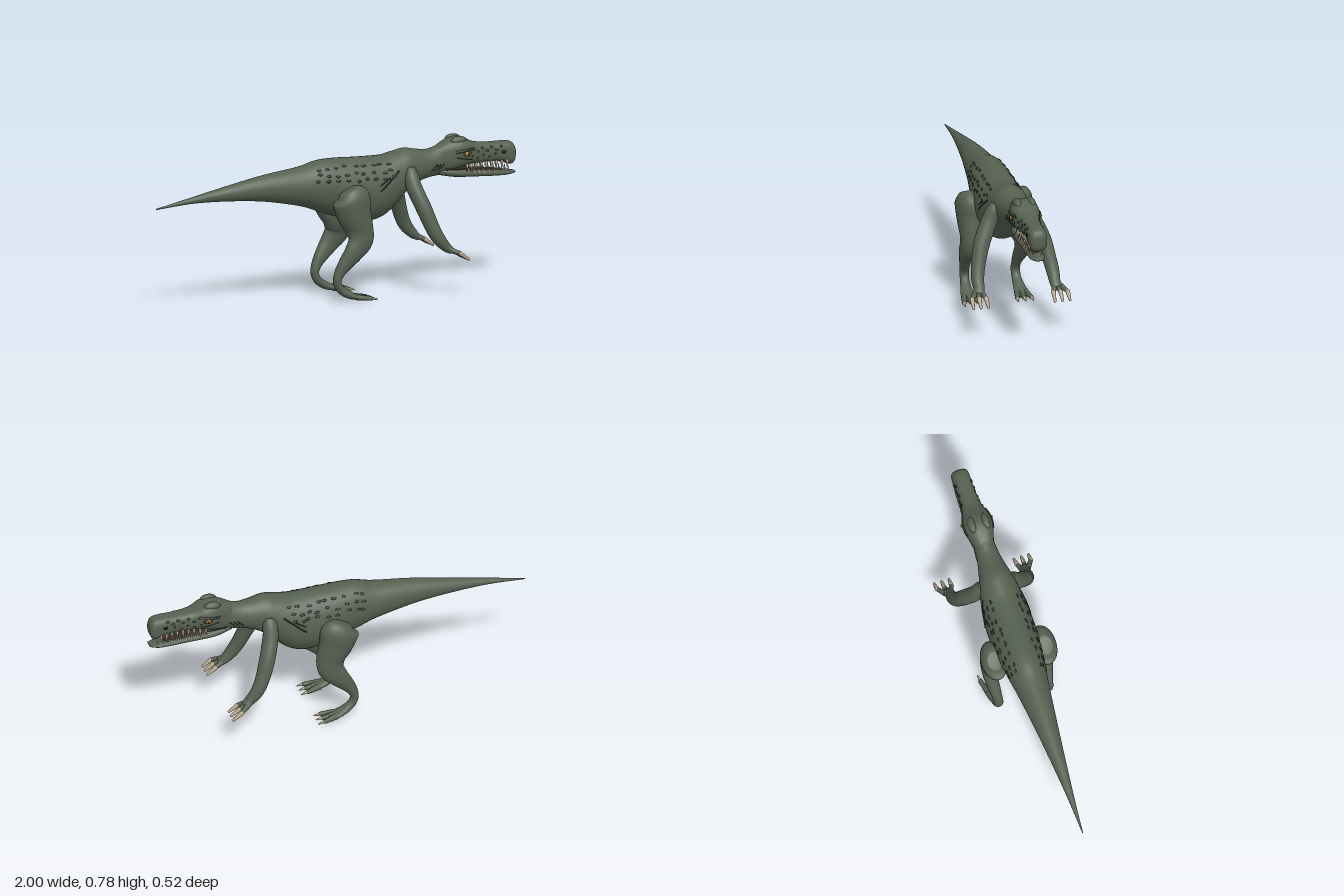
import * as THREE from 'three';

const mat = (name, color) => Object.assign(new THREE.MeshStandardMaterial({ color }), { name });
const skin = mat('skin', 0x566151);
const dark = mat('dark scales', 0x2f372f);
const bone = mat('teeth', 0xd6c8a8);
const horn = mat('claws', 0xb8a68c);
const gold = mat('eye gold', 0xc08420);
const black = mat('black', 0x121210);
const mouth = mat('mouth', 0x3a2a26);

const V = (x, y, z) => new THREE.Vector3(x, y, z);

// Smooth interpolation between rows [x, y, z, radiusA, radiusB], t in row units
function sample(rows, t) {
  const n = rows.length - 1;
  const i = Math.min(Math.floor(t), n - 1), f = t - i;
  const [p0, p1, p2, p3] = [rows[Math.max(i - 1, 0)], rows[i], rows[i + 1], rows[Math.min(i + 2, n)]];
  return p1.map((b, k) => {
    const a = p0[k], c = p2[k], d = p3[k];
    return b + 0.5 * f * (c - a + f * (2 * a - 5 * b + 4 * c - d + f * (3 * (b - c) + d - a)));
  });
}

// Skin of closed cross-sections; upright keeps every section facing +x, p < 1 makes it boxier
function loft(rows, { upright = false, p = 1, sides = 28, steps = 5 } = {}) {
  const count = (rows.length - 1) * steps, pos = [], idx = [];
  const pw = (v) => Math.sign(v) * Math.abs(v) ** p;
  for (let i = -1; i <= count + 1; i++) {
    const t = Math.min(Math.max(i, 0), count) / steps;
    const cap = i < 0 || i > count ? 0 : 1;
    const [x, y, z, ra, rb] = sample(rows, t);
    const e = sample(rows, Math.min(t + 0.05, rows.length - 1)), s = sample(rows, Math.max(t - 0.05, 0));
    const dir = upright ? V(1, 0, 0) : V(e[0] - s[0], e[1] - s[1], e[2] - s[2]).normalize();
    const a = V(0, 0, 1).cross(dir).normalize(), b = dir.clone().cross(a);
    for (let j = 0; j < sides; j++) {
      const th = (j / sides) * Math.PI * 2;
      const q = V(x, y, z).addScaledVector(a, cap * ra * pw(Math.cos(th)))
        .addScaledVector(b, cap * rb * pw(Math.sin(th)));
      pos.push(q.x, q.y, q.z);
    }
  }
  for (let i = 0; i < count + 2; i++) for (let j = 0; j < sides; j++) {
    const k = (j + 1) % sides, A = i * sides, B = A + sides;
    idx.push(A + j, A + k, B + j, A + k, B + k, B + j);
  }
  const g = new THREE.BufferGeometry();
  g.setAttribute('position', new THREE.Float32BufferAttribute(pos, 3));
  g.setIndex(idx);
  g.computeVertexNormals();
  return g;
}

// Profile rows [x, top, bottom, half width] to loft rows
const profile = (list) => list.map(([x, t, b, w]) => [x, (t + b) / 2, 0, (t - b) / 2, w]);

const bodyRows = profile([
  [-1, .538, .532, .002], [-.8, .58, .547, .018], [-.6, .622, .543, .038], [-.4, .66, .525, .06],
  [-.2, .687, .485, .085], [-.1, .712, .45, .1], [0, .716, .415, .112], [.1, .712, .388, .12],
  [.18, .71, .377, .121], [.26, .711, .4, .116], [.33, .725, .455, .104], [.39, .735, .515, .09],
  [.46, .723, .555, .072], [.52, .719, .573, .06], [.58, .735, .58, .054], [.65, .745, .59, .05],
]);
const skullRows = profile([
  [.55, .72, .6, .04], [.6, .747, .6, .056], [.64, .764, .602, .067], [.68, .77, .61, .074],
  [.72, .76, .62, .071], [.76, .741, .626, .06], [.8, .731, .627, .051], [.87, .726, .627, .046],
  [.93, .726, .62, .046], [.965, .724, .606, .046], [.988, .714, .61, .042], [1, .69, .635, .028],
]);
const jawRows = profile([
  [.57, .62, .582, .04], [.64, .613, .568, .055], [.7, .604, .562, .056], [.8, .594, .556, .048],
  [.9, .584, .551, .043], [.96, .577, .552, .038], [1, .57, .559, .022],
]);
const BOX = 0.72;

// Point and normal on the side of an upright loft at a given x and height
function onSide(rows, x, y, s, p = 1) {
  let lo = 0, hi = rows.length - 1;
  for (let i = 0; i < 30; i++) {
    const m = (lo + hi) / 2;
    if (sample(rows, m)[0] < x) lo = m; else hi = m;
  }
  const [, c, , h, w] = sample(rows, lo);
  const q = THREE.MathUtils.clamp((y - c) / h, -.97, .97), e = 2 / p;
  const z = (1 - Math.abs(q) ** e) ** (1 / e);
  const n = V(0, Math.sign(q) * Math.abs(q) ** (e - 1) / h, s * z ** (e - 1) / w).normalize();
  return { at: V(x, c + q * h, s * z * w), n };
}

export function createModel() {
  const model = new THREE.Group();
  const add = (name, geo, m) => {
    const o = new THREE.Mesh(geo, m);
    o.name = name;
    model.add(o);
    return o;
  };
  const ball = (name, at, sx, sy, sz, m) => {
    const o = add(name, new THREE.SphereGeometry(1, 14, 10), m);
    o.position.copy(at);
    o.scale.set(sx, sy, sz);
    return o;
  };
  const rod = (name, a, b, r1, r2, m) => {
    const d = b.clone().sub(a);
    const o = add(name, new THREE.CylinderGeometry(r2, r1, d.length(), 10), m);
    o.position.copy(a).addScaledVector(d, .5);
    o.quaternion.setFromUnitVectors(V(0, 1, 0), d.normalize());
    return o;
  };
  const spot = (name, hit, l, h, m = dark) => {
    const o = ball(name, hit.at, l, h, .004, m);
    o.quaternion.setFromUnitVectors(V(0, 0, 1), hit.n);
  };
  // Thin crease following the side of a loft
  const crease = (name, rows, x1, y1, x2, y2, s, r, p) => {
    const pts = [0, .33, .67, 1].map((f) => onSide(rows, x1 + (x2 - x1) * f, y1 + (y2 - y1) * f, s, p).at);
    add(name, new THREE.TubeGeometry(new THREE.CatmullRomCurve3(pts), 10, r, 6), dark);
  };
  let seed = 7;
  const rand = () => (seed = (seed * 16807) % 2147483647) / 2147483647;

  add('body', loft(bodyRows, { upright: true, sides: 40 }), skin);
  add('skull', loft(skullRows, { upright: true, p: BOX, sides: 36 }), skin);
  add('lowerJaw', loft(jawRows, { upright: true, p: .8 }), skin);
  // Mouth lining at the back of the jaws
  add('mouthLining', loft([[.6, .613, 0, .02, .045], [.68, .613, 0, .016, .048], [.74, .608, 0, .008, .042]],
    { upright: true }), mouth);
  add('tongue', loft([[.66, .6, 0, .012, .03], [.8, .592, 0, .01, .028], [.93, .58, 0, .005, .018]],
    { upright: true }), mouth);

  for (const s of [1, -1]) {
    const side = s > 0 ? 'right' : 'left';
    // Hind leg
    add(side + 'HindLeg', loft([
      [.005, .568, .135 * s, .045, .035], [.025, .53, .135 * s, .1, .062], [.045, .45, .13 * s, .092, .064],
      [.073, .375, .127 * s, .076, .06], [.077, .31, .14 * s, .068, .044], [.037, .25, .145 * s, .052, .036],
      [-.003, .2, .14 * s, .04, .03], [-.037, .15, .135 * s, .028, .025], [-.05, .105, .133 * s, .021, .024],
      [-.033, .065, .134 * s, .021, .024], [.008, .036, .137 * s, .02, .03], [.05, .021, .138 * s, .015, .036],
      [.095, .012, .138 * s, .009, .036],
    ]), skin);
    // Foreleg
    add(side + 'Foreleg', loft([
      [.385, .642, .072 * s, .026, .026], [.385, .61, .088 * s, .037, .036], [.39, .55, .113 * s, .04, .042],
      [.422, .45, .158 * s, .04, .042], [.458, .35, .185 * s, .037, .036], [.49, .29, .196 * s, .033, .033],
      [.53, .246, .198 * s, .025, .028], [.558, .226, .206 * s, .017, .03],
    ]), skin);
    // Toes and fingers with claws
    for (const k of [-1, 0, 1]) {
      const toe = V(.118, .012, (.138 + k * .036) * s);
      rod('toe', V(.05, .02, (.138 + k * .02) * s), toe, .016, .011, skin);
      ball('toeKnuckle', toe, .013, .011, .012, skin);
      rod('toeClaw', toe, V(.157, .006, (.138 + k * .04) * s), .01, .002, horn);
      const tip = V(.588, .215, (.212 + k * .037) * s);
      rod('finger', V(.545, .234, (.205 + k * .015) * s), tip, .015, .011, skin);
      const end = V(.63, .184, (.212 + k * .039) * s);
      rod('fingerClaw', tip, end, .012, .007, horn);
      ball('fingerClawBase', tip, .012, .012, .012, horn);
      ball('fingerClawTip', end, .007, .007, .007, horn);
    }
    // Skull crest, brow, eye and nostril
    ball('crest', V(.675, .752, .036 * s), .045, .026, .022, skin);
    ball('eyeSocket', V(.703, .689, .066 * s), .03, .017, .012, dark);
    ball('eye', V(.705, .689, .072 * s), .014, .012, .013, gold);
    ball('pupil', V(.708, .689, .083 * s), .004, .008, .003, black);
    crease('brow', skullRows, .645, .7, .75, .712, s, .007, BOX);
    crease('cheekFold', skullRows, .65, .672, .74, .655, s, .003, BOX);
    spot('nostril', onSide(skullRows, .925, .677, s, BOX), .013, .01, black);
    // Raised scales on the snout
    for (let i = 0; i < 7; i++) {
      spot('snoutScale', onSide(skullRows, .75 + i * .027, .708 - (i % 2) * .016, s, BOX), .009, .006);
      if (i < 5) spot('cheekScale', onSide(skullRows, .74 + i * .034, .672 - (i % 2) * .012, s, BOX), .006, .004);
    }
    // Scattered scales along the flank
    for (let i = 0; i < 27; i++) {
      const x = -.12 + (i % 9) * .049 + (rand() - .5) * .03;
      const y = .612 + Math.floor(i / 9) * .033 + (rand() - .5) * .018;
      spot('flankScale', onSide(bodyRows, x, y, s), .011 + rand() * .004, .007);
    }
    // Skin folds on the shoulder and neck
    crease('shoulderFold', bodyRows, .2, .545, .315, .64, s, .004);
    crease('shoulderFold', bodyRows, .2, .575, .26, .61, s, .003);
    for (let i = 0; i < 3; i++)
      crease('neckFold', bodyRows, .515 + i * .02, .612, .548 + i * .02, .645, s, .003);
    // Upper and lower teeth
    for (let i = 0; i < 9; i++) {
      const x = .715 + i * .029, long = i % 3 === 1 ? .012 : 0;
      const up = onSide(skullRows, x, .64, s, BOX).at.z * .93;
      rod('upperTooth', V(x, .634, up), V(x - .003, .596 - long, up), .008, .001, bone);
      const low = onSide(jawRows, x + .014, .575, s, .8).at.z * .86;
      const base = .598 - (x - .7) * .09;
      rod('lowerTooth', V(x + .014, base - .01, low), V(x + .012, base + .026, low), .006, .001, bone);
    }
  }
  return model;
}
